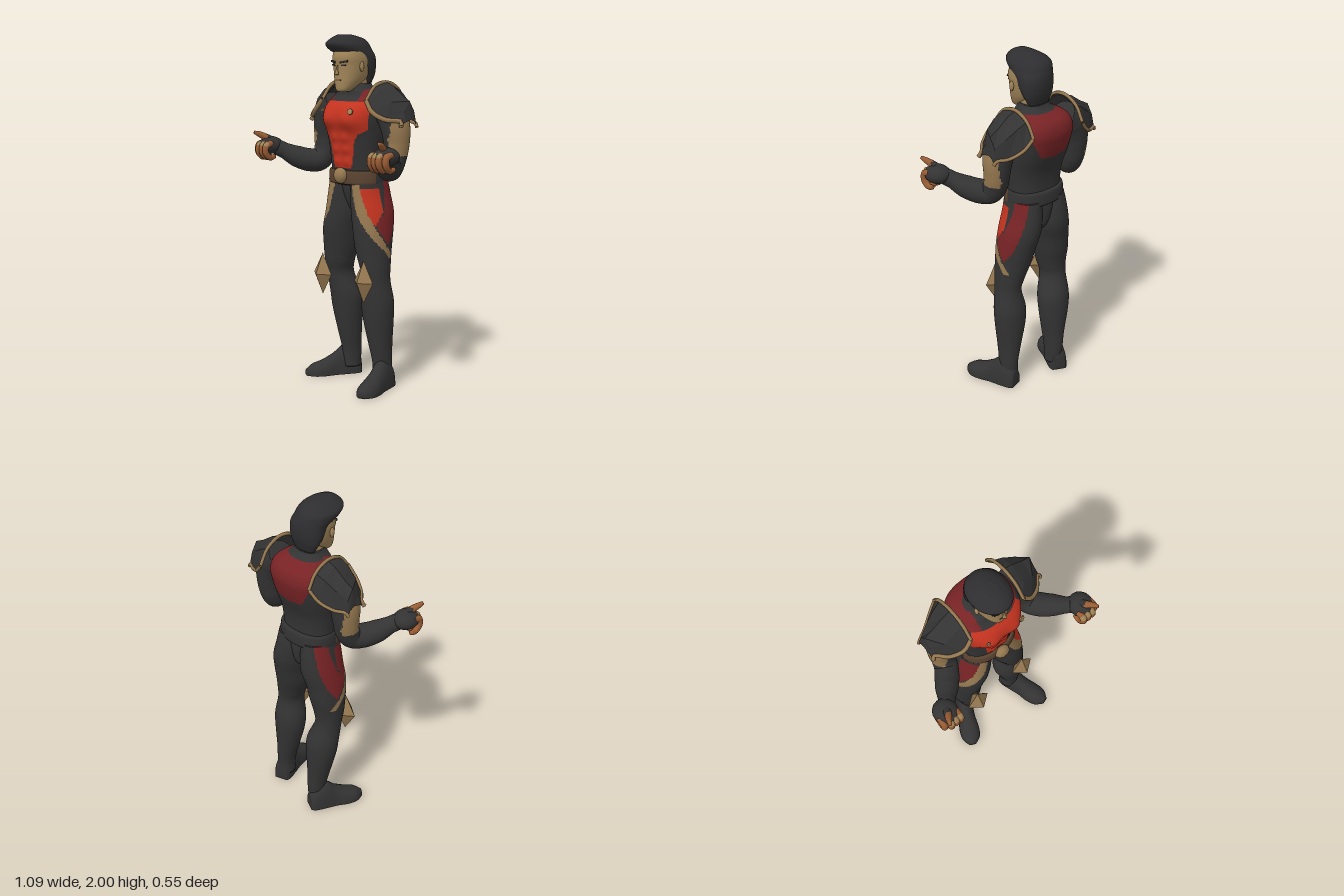
import * as THREE from 'three';

const paint = (name, color) => {
  const m = new THREE.MeshStandardMaterial({ color, side: THREE.DoubleSide });
  m.name = name;
  return m;
};
const SUIT = paint('suit black', 0x333334), HAIR = paint('hair black', 0x2e2e30), RED = paint('red', 0xc4331f);
const DARK = paint('dark red', 0x782325), TRIM = paint('bronze trim', 0x957850), SKIN = paint('skin', 0xa08458);
const BELT = paint('belt brown', 0x5a4330), FINGER = paint('finger brown', 0x995c34);

const V = (x, y, z) => new THREE.Vector3(x, y, z);

function add(parent, name, geo, mat, x = 0, y = 0, z = 0) {
  const m = new THREE.Mesh(geo, mat);
  m.name = name;
  m.position.set(x, y, z);
  parent.add(m);
  return m;
}

// Catmull-Rom resampling of a table of cross-sections
function resample(rows, n) {
  const out = [], last = rows.length - 1;
  for (let k = 0; k <= n; k++) {
    const t = (k / n) * last, i = Math.min(Math.floor(t), last - 1), f = t - i;
    const [p, a, b, q] = [rows[Math.max(i - 1, 0)], rows[i], rows[i + 1], rows[Math.min(i + 2, last)]];
    out.push(a.map((v, c) => v + 0.5 * f * (b[c] - p[c]
      + f * (2 * p[c] - 5 * v + 4 * b[c] - q[c] + f * (3 * (v - b[c]) + q[c] - p[c])))));
  }
  return out;
}

// piecewise linear lookup, x ascending
function lookup(table, x) {
  for (let i = 1; i < table.length; i++) {
    const [x0, y0] = table[i - 1], [x1, y1] = table[i];
    if (x <= x1) return y0 + (y1 - y0) * Math.max(0, (x - x0) / (x1 - x0));
  }
  return table[table.length - 1][1];
}

// closed surface through rings; pick(centre, degrees) chooses the material of each face
function loft(parent, name, rings, mats, pick = () => 0) {
  const n = rings[0].length;
  const middle = r => {
    const c = r.reduce((s, p) => s.add(p), V(0, 0, 0)).divideScalar(n);
    return r.map(() => c);
  };
  const all = [middle(rings[0]), ...rings, middle(rings[rings.length - 1])];
  const lists = mats.map(() => []);
  for (let i = 0; i < all.length - 1; i++) for (let j = 0; j < n; j++) {
    const k = (j + 1) % n, a = i * n + j, b = i * n + k, c = b + n, d = a + n;
    const mid = all[i][j].clone().add(all[i + 1][k]).multiplyScalar(0.5);
    lists[pick(mid, (j + 0.5) / n * 360)].push(a, b, c, a, c, d);
  }
  const geo = new THREE.BufferGeometry().setFromPoints(all.flat());
  geo.setIndex(lists.flat());
  let start = 0;
  lists.forEach((l, i) => { geo.addGroup(start, l.length, i); start += l.length; });
  geo.computeVertexNormals();
  return add(parent, name, geo, mats.length > 1 ? mats : mats[0]);
}

// upright body part, rows of [y, centre x, half width, front z, back z]
function body(parent, name, rows, mats, { n = 40, seg = 40, p = 2, pick, shape } = {}) {
  const pw = v => Math.sign(v) * Math.abs(v) ** (2 / p);
  const rings = resample(rows, n).map(([y, cx, rx, zf, zb]) => Array.from({ length: seg }, (_, j) => {
    const a = j / seg * Math.PI * 2;
    const v = V(cx + rx * pw(Math.sin(a)), y, (zf + zb) / 2 + (zf - zb) / 2 * pw(Math.cos(a)));
    if (shape) shape(v);
    return v;
  }));
  return loft(parent, name, rings, mats, pick);
}

// limb along a curve, rows of [x, y, z, radius]
function limb(parent, name, rows, mats, pick, n = 40, seg = 24) {
  const curve = new THREE.CatmullRomCurve3(rows.map(r => V(r[0], r[1], r[2])));
  const f = curve.computeFrenetFrames(n), radii = rows.map((r, i) => [i, r[3]]);
  const rings = f.tangents.map((_, i) => {
    const t = curve.getUtoTmapping(i / n), c = curve.getPoint(t), r = lookup(radii, t * (rows.length - 1));
    return Array.from({ length: seg }, (_, j) => {
      const a = j / seg * Math.PI * 2;
      return c.clone().addScaledVector(f.normals[i], r * Math.cos(a)).addScaledVector(f.binormals[i], r * Math.sin(a));
    });
  });
  return loft(parent, name, rings, mats, pick);
}

function torso(g) {
  const hump = (v, x, y, sx, sy) => Math.exp(-(((v.x - x) / sx) ** 2) - ((v.y - y) / sy) ** 2);
  body(g, 'torso', [[1.16, 0, .165, .035, -.2], [1.25, 0, .16, .04, -.19], [1.35, 0, .17, .05, -.2], [1.45, 0, .187, .065, -.235],
    [1.53, 0, .197, .08, -.26], [1.6, 0, .2, .07, -.27], [1.66, 0, .165, .02, -.245], [1.7, 0, .1, .01, -.17], [1.73, 0, .075, -.01, -.145]],
  [SUIT, RED, DARK], {
    n: 90, seg: 120, p: 2.4,
    // chest and stomach muscles
    shape: v => {
      if (v.z < -.03) return;
      for (const s of [-1, 1]) {
        v.z += .03 * hump(v, s * .085, 1.53, .07, .06);
        for (const y of [1.29, 1.36, 1.425]) v.z += .012 * hump(v, s * .04, y, .03, .028);
      }
    },
    pick: v => {
      const x = Math.abs(v.x);
      if (v.z > -.08) {
        if (v.y > 1.63) return x > .1 ? 2 : 0;
        return v.y > 1.26 && x < lookup([[1.26, .07], [1.42, .1], [1.45, .125], [1.48, .17], [1.59, .18], [1.63, .15]], v.y) ? 1 : 0;
      }
      return v.y < 1.695 && x < lookup([[1.46, 0], [1.47, .09], [1.6, .16], [1.64, .2]], v.y) ? 2 : 0;
    },
  });
  for (const [x, r] of [[.115, .018], [-.11, .011]]) {
    const badge = add(g, 'chestBadge', new THREE.CylinderGeometry(r, r, .009, 6).rotateX(Math.PI / 2), SKIN, x, 1.58, .092);
    badge.rotation.set(-.3, Math.sign(x) * .3, 0);
  }
  body(g, 'pelvis', [[.97, .005, .03, -.06, -.13], [1.02, .005, .05, -.02, -.18], [1.1, 0, .08, .01, -.2], [1.2, 0, .13, .025, -.2]], [SUIT]);
  body(g, 'belt', [[1.165, 0, .168, .05, -.21], [1.175, 0, .176, .06, -.215], [1.235, 0, .172, .058, -.212], [1.245, 0, .165, .05, -.2]],
    [BELT, SUIT], { n: 8, seg: 48, p: 2.3, pick: v => (v.z > -.05 ? 0 : 1) });
  const buckle = add(g, 'buckle', new THREE.SphereGeometry(.047, 10, 6), TRIM, .008, 1.215, .065);
  buckle.scale.z = .7;
}

function head(g) {
  body(g, 'neck', [[1.62, 0, .07, .005, -.135], [1.78, 0, .065, .01, -.13]], [SKIN], { n: 4 });
  body(g, 'head', [[1.685, 0, .03, .065, .0], [1.7, 0, .05, .073, -.03], [1.74, 0, .074, .074, -.09], [1.78, 0, .088, .073, -.13],
    [1.83, 0, .097, .075, -.15], [1.88, 0, .1, .08, -.15], [1.93, 0, .09, .06, -.14], [1.97, 0, .05, .02, -.1]], [SKIN], { p: 2.2 });
  body(g, 'hair', [[1.73, 0, .066, -.085, -.14], [1.78, 0, .092, -.06, -.157], [1.83, 0, .104, -.02, -.167], [1.88, -.002, .107, .01, -.167],
    [1.915, -.012, .11, .088, -.16], [1.95, -.018, .106, .12, -.145], [1.98, -.012, .072, .1, -.11], [2, -.015, .03, .06, -.04]],
  [HAIR], { p: 2.1 });
  const nose = add(g, 'nose', new THREE.ConeGeometry(.016, .06, 4), SKIN, 0, 1.81, .082);
  nose.rotation.x = -.15;
  add(g, 'mouth', new THREE.BoxGeometry(.042, .006, .008), BELT, 0, 1.75, .072);
  for (const s of [-1, 1]) {
    const brow = add(g, 'eyebrow', new THREE.BoxGeometry(.05, .011, .009), HAIR, s * .042, 1.852, .071);
    brow.rotation.set(0, s * .35, s * .15);
    add(g, 'eye', new THREE.BoxGeometry(.028, .008, .008), HAIR, s * .04, 1.833, .07).rotation.y = s * .3;
    add(g, 'ear', new THREE.SphereGeometry(.026, 10, 8), SKIN, s * .102, 1.825, -.012).scale.set(.4, 1.1, .6);
  }
}

// rows: y, left x, right x, half width, front z, back z, right leg z shift
const LEG = [[.05, .2, .11, .052, -.03, -.14, -.05], [.15, .2, .11, .052, -.02, -.145, -.055], [.25, .19, .115, .065, -.005, -.15, -.05],
  [.4, .177, .125, .09, .015, -.16, -.045], [.5, .175, .13, .095, .022, -.16, -.04], [.62, .178, .148, .074, .025, -.14, -.025],
  [.7, .165, .143, .084, .035, -.15, -.015], [.8, .143, .133, .099, .045, -.175, -.01], [.9, .13, .12, .105, .05, -.2, 0],
  [1, .113, .1, .108, .047, -.222, 0], [1.1, .095, .092, .096, .042, -.22, 0], [1.19, .088, .085, .085, .035, -.205, 0]];
const STRIPE = [[.75, 120], [.83, 78], [.9, 50], [1, 22], [1.16, 5]];

function leg(g, s) {
  const rows = LEG.map(([y, l, r, w, f, b, d]) => (s > 0 ? [y, l, w, f, b] : [y, -r, w, f + d, b + d]));
  body(g, 'leg', rows, [SUIT, TRIM, RED, DARK], {
    n: 140, seg: 96,
    pick: (v, deg) => {
      const a = s > 0 ? deg : 360 - deg, b = a > 270 ? a - 360 : a, d = b - lookup(STRIPE, v.y);
      if (v.y < .75) return 0;
      if (Math.abs(d) < lookup([[.8, 11], [.95, 17]], v.y)) return 1;
      if (d > 17 && b < lookup([[.93, 55], [1.02, 82]], v.y) && v.y > .94 && v.y < 1.15) return s > 0 ? 2 : 3;
      return d > 20 && b > lookup([[.9, 0], [.95, 60], [1, 84], [1.15, 102]], v.y)
        && b < lookup([[.81, 95], [.9, 125], [1.16, 145]], v.y) && v.y > .82 ? 3 : 0;
    },
  });
  add(g, 'kneePad', new THREE.OctahedronGeometry(1), TRIM, s > 0 ? .18 : -.162, .625, .048).scale.set(.074, .122, .055);

  // boot foot: flat-soled sections from heel to toe
  const rows2 = resample([[0, .04, .1], [.03, .054, .14], [.1, .056, .17], [.16, .056, .125], [.23, .064, .085], [.29, .056, .065], [.335, .02, .035]], 24);
  const foot = loft(g, 'boot', rows2.map(([d, w, h]) => Array.from({ length: 24 }, (_, j) => {
    const a = j / 24 * Math.PI * 2;
    return V(w * Math.cos(a), Math.max(0, h * Math.sin(a) ** .8 || 0), d);
  })), [SUIT]);
  foot.position.set(s > 0 ? .195 : -.105, 0, s > 0 ? -.145 : -.2);
  foot.rotation.y = s > 0 ? .3 : -.47;
}

// shoulder plate stations, from neck side outward: x then [z, y] along the arch
const PLATE = [[.178, [.03, 1.64], [-.04, 1.72], [-.13, 1.74], [-.22, 1.7], [-.27, 1.62]],
  [.23, [.035, 1.58], [-.03, 1.69], [-.13, 1.72], [-.21, 1.675], [-.25, 1.56]],
  [.3, [.0, 1.54], [-.04, 1.635], [-.13, 1.67], [-.19, 1.625], [-.21, 1.52]],
  [.357, [-.06, 1.53], [-.09, 1.585], [-.13, 1.64], [-.165, 1.585], [-.18, 1.515]],
  [.37, [-.05, 1.505], [-.08, 1.525], [-.13, 1.54], [-.16, 1.525], [-.175, 1.495]]];

function arm(g) {
  // bronze wedge on the outside of the upper arm
  const wedge = [[1.34, .315], [1.42, .292], [1.5, .275], [1.54, .265]];
  limb(g, 'arm', [[.19, 1.61, -.1, .08], [.25, 1.56, -.1, .09], [.28, 1.48, -.1, .082], [.287, 1.4, -.1, .072], [.286, 1.32, -.085, .066],
    [.296, 1.275, -.05, .066], [.335, 1.275, .005, .068], [.38, 1.297, .06, .062], [.42, 1.328, .11, .047], [.45, 1.35, .145, .046]],
  [SUIT, TRIM], v => (v.y > 1.34 && v.y < 1.54 && v.z < -.025 && v.z > -.165 && v.x > lookup(wedge, v.y) ? 1 : 0), 110, 48);

  const pts = PLATE.map(([x, ...r]) => r.map(([z, y]) => V(x, y, z)));
  const tris = [];
  for (let i = 0; i < 4; i++) for (let j = 0; j < 4; j++) {
    const a = pts[i][j], b = pts[i + 1][j], c = pts[i + 1][j + 1], d = pts[i][j + 1];
    tris.push(a, b, c, a, c, d);
  }
  const shell = new THREE.BufferGeometry().setFromPoints(tris);
  shell.computeVertexNormals();
  add(g, 'shoulderPlate', shell, SUIT);
  // trim along the neck-side, front and back edges
  for (const [edge, r] of [[pts[0], .01], [pts.map(p => p[0]), .013], [pts.map(p => p[4]), .01]]) {
    const path = new THREE.CatmullRomCurve3(edge, false, 'centripetal');
    add(g, 'shoulderTrim', new THREE.TubeGeometry(path, 16, r, 6), TRIM);
  }

  // gloved hand with curled fingers, lighter at the tips
  const palm = add(g, 'glove', new THREE.SphereGeometry(1, 16, 12), SUIT, .477, 1.362, .172);
  palm.scale.set(.07, .052, .076);
  for (let i = 0; i < 4; i++) {
    const x = .432 + i * .031, z = i === 3 ? -.02 : 0;
    limb(g, 'finger', [[x, 1.375, .2 + z, .018], [x + .002, 1.365, .24 + z, .02], [x + .003, 1.325, .245 + z, .019],
      [x, 1.293, .215 + z, .017], [x, 1.3, .18 + z, .013]], [FINGER, SKIN], v => (i < 3 && v.z > .235 && v.y > 1.365 ? 1 : 0), 20, 10);
  }
  limb(g, 'thumb', [[.468, 1.385, .165, .026], [.485, 1.41, .205, .021], [.505, 1.43, .24, .016], [.515, 1.44, .265, .009]],
    [SUIT, FINGER], v => (v.z > .2 ? 1 : 0), 14, 10);
}

export function createModel() {
  const g = new THREE.Group();
  g.name = 'armouredFigure';
  torso(g);
  head(g);
  for (const s of [1, -1]) {
    const side = s > 0 ? 'left' : 'right';
    const legs = new THREE.Group(), arms = new THREE.Group();
    legs.name = side + 'Leg';
    arms.name = side + 'Arm';
    leg(legs, s);
    arm(arms);
    arms.scale.x = s;
    g.add(legs, arms);
  }
  return g;
}
